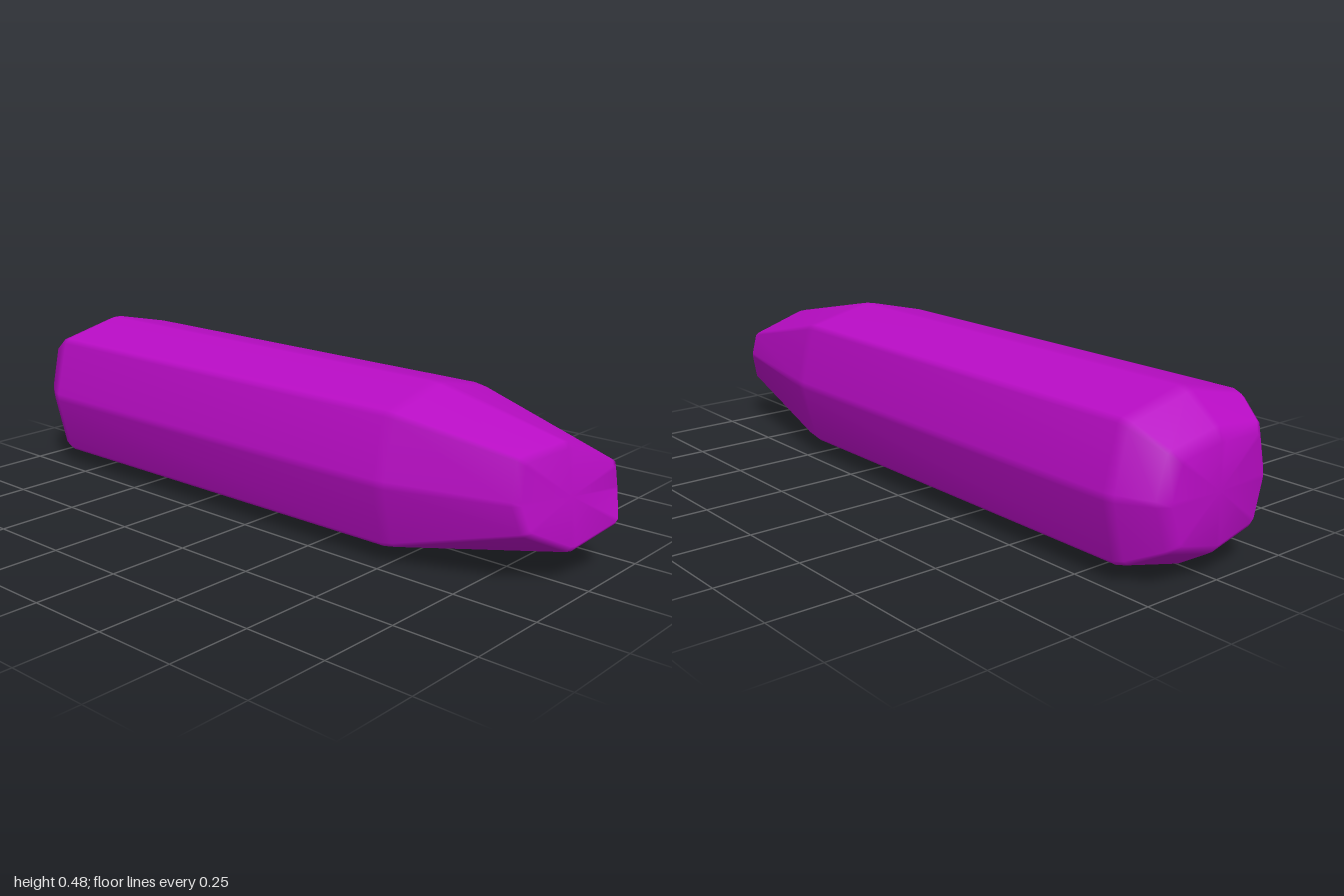
import * as THREE from 'three';

// Eight unbevelled corners [x, y, z] per station: top, then round by the front.
const section = (x, front) => [
  [x, 0.479, 0], [x, 0.428, front * 0.83], [x, 0.24, front], [x, 0.051, front * 0.83],
  [x, -0.003, 0], [x, 0.051, -0.222], [x, 0.24, -0.267], [x, 0.428, -0.222],
];
const leftTip = [
  [-1, 0.375, 0], [-1, 0.368, 0.15], [-1, 0.24, 0.178], [-1, 0.115, 0.145],
  [-1, 0.078, 0], [-1, 0.115, -0.155], [-1, 0.24, -0.197], [-1, 0.35, -0.16],
];
const rightTip = [
  [0.92, 0.386, 0], [0.87, 0.362, 0.148], [0.87, 0.245, 0.162], [0.89, 0.163, 0.14],
  [0.95, 0.092, 0], [1.01, 0.152, -0.142], [0.985, 0.24, -0.17], [0.985, 0.308, -0.152],
];

const mix = (a, b, t) => a.map((v, i) => v + (b[i] - v) * t);
const blend = (r, s, t) => r.map((p, i) => mix(p, s[i], t));
const centre = (r) => r.reduce((s, p) => s.map((v, i) => v + p[i] / r.length), [0, 0, 0]);
const shrink = (r, t) => r.map((p) => mix(p, centre(r), t));

// Splits every corner in two, giving narrow bevels along the body
const bevel = (r) => r.flatMap((p, i) => [
  mix(p, r[(i + 7) % 8], 0.06), mix(p, r[(i + 1) % 8], 0.06),
]);

// Closed skin through the rings, from left to right
function loft(rings) {
  const n = rings[0].length;
  const index = [];
  for (let i = 0; i < rings.length - 1; i++) {
    for (let j = 0; j < n; j++) {
      const k = (j + 1) % n;
      const a = i * n + j, b = i * n + k, c = b + n, d = a + n;
      if (i > 0) index.push(a, b, c);
      else index.push(a, c, d);
      if (i > 0 && i < rings.length - 2) index.push(a, c, d);
    }
  }
  const geometry = new THREE.BufferGeometry();
  geometry.setAttribute('position', new THREE.Float32BufferAttribute(rings.flat(2), 3));
  geometry.setIndex(index);
  geometry.computeVertexNormals();
  // Both end centres share one normal each
  const normal = geometry.attributes.normal;
  for (const start of [0, (rings.length - 1) * n]) {
    const sum = new THREE.Vector3();
    for (let j = 0; j < n; j++) sum.add(new THREE.Vector3().fromBufferAttribute(normal, start + j));
    sum.normalize();
    for (let j = 0; j < n; j++) normal.setXYZ(start + j, sum.x, sum.y, sum.z);
  }
  return geometry;
}

export function createModel() {
  const purple = new THREE.MeshStandardMaterial({ color: 0xb80cc4 });
  purple.name = 'purple';

  const left = section(-0.87, 0.267);
  const right = section(0.5, 0.258);
  const rings = [
    shrink(leftTip, 1), shrink(leftTip, 0.09), blend(leftTip, left, 0.2),
    blend(left, leftTip, 0.12), blend(left, right, 0.012),
    blend(right, left, 0.012), blend(right, rightTip, 0.05),
    blend(rightTip, right, 0.035), shrink(rightTip, 0.1), shrink(rightTip, 1),
  ].map(bevel);

  const body = new THREE.Mesh(loft(rings), purple);
  body.name = 'crystalBody';
  const group = new THREE.Group();
  group.name = 'crystal';
  group.add(body);
  return group;
}
